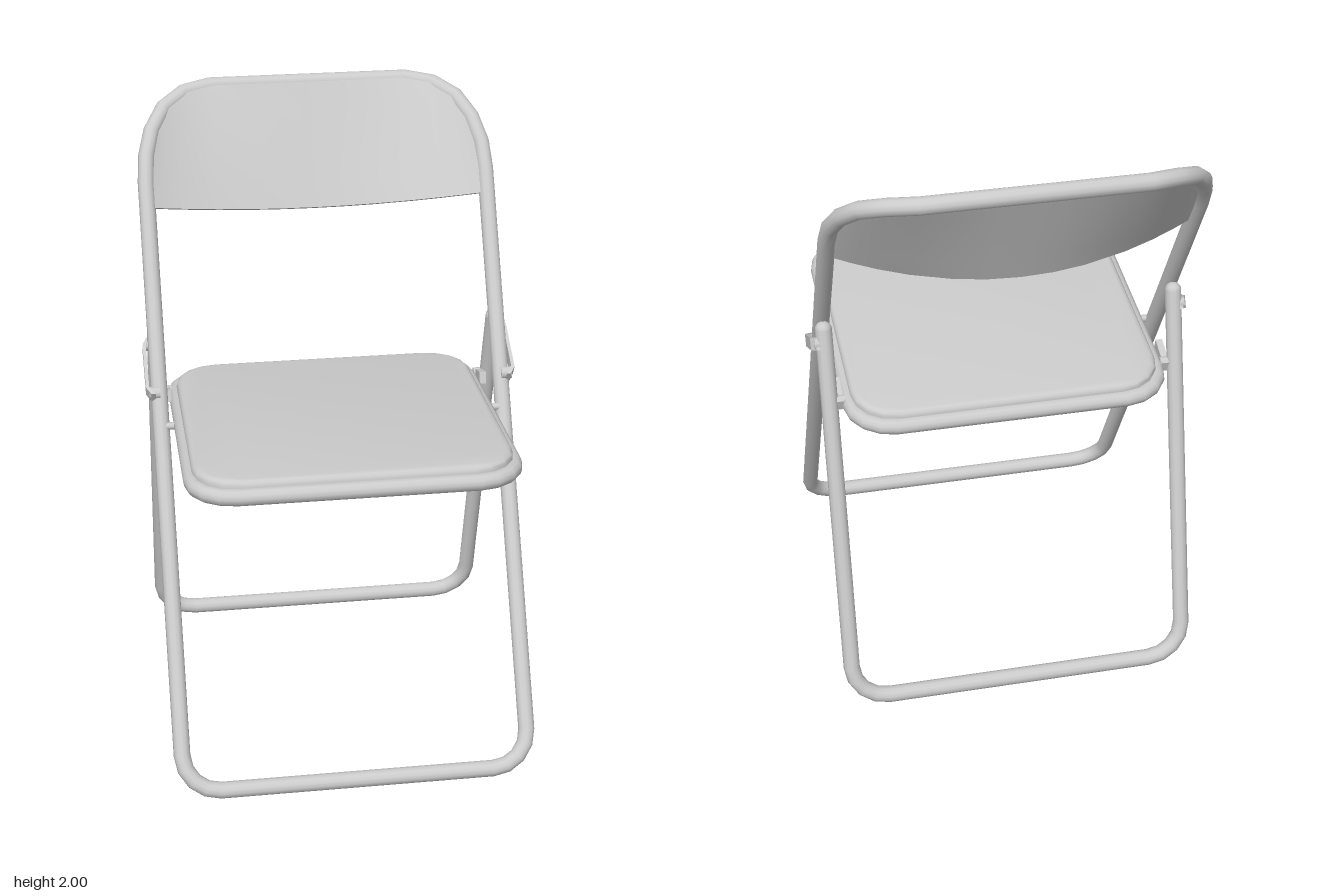
import * as THREE from 'three';
import { toCreasedNormals } from 'three/addons/utils/BufferGeometryUtils.js';

const R = 0.027; // tube radius
const material = new THREE.MeshStandardMaterial({ color: 0xcccccc });
const V = (x, y, z) => new THREE.Vector3(x, y, z);
const mirrorX = (p) => V(-p.x, p.y, p.z);

// Curve that runs straight from point to point, with averaged tangents at the joints
class PointPath extends THREE.Curve {
  constructor(points, closed) {
    super();
    this.points = points;
    this.closed = closed;
    this.count = closed ? points.length : points.length - 1;
  }
  at(i) {
    const n = this.points.length;
    return this.points[this.closed ? (i + n) % n : Math.min(Math.max(i, 0), n - 1)];
  }
  getPointAt(u, target = V()) {
    return target.copy(this.at(Math.round(u * this.count)));
  }
  getTangentAt(u, target = V()) {
    const i = Math.round(u * this.count), p = this.at(i);
    const a = p.clone().sub(this.at(i - 1)).normalize();
    const b = this.at(i + 1).clone().sub(p).normalize();
    return target.copy(a.add(b)).normalize();
  }
}

function add(parent, name, geometry) {
  const mesh = new THREE.Mesh(geometry, material);
  mesh.name = name;
  parent.add(mesh);
  return mesh;
}

function addTube(parent, name, points, closed = false) {
  const path = new PointPath(points, closed);
  return add(parent, name, new THREE.TubeGeometry(path, path.count, R, 12, closed));
}

// Rounded bottom corner of a leaning frame, from the floor bar up to the leg
function footCorner(z, dy, dz, r = 0.12) {
  return [0, 1, 2, 3, 4].map((i) => {
    const a = (i / 4) * Math.PI / 2, s = r * (1 - Math.cos(a));
    return V(0.565 - r + r * Math.sin(a), R + dy * s, z + dz * s);
  });
}

// Outline of a rectangle with rounded corners
function roundedOutline(w, d, r) {
  const points = [];
  [[1, 1], [-1, 1], [-1, -1], [1, -1]].forEach(([sx, sy], k) => {
    for (let i = 0; i <= 4; i++) {
      const a = (k + i / 4) * Math.PI / 2;
      points.push(new THREE.Vector2(sx * (w - r) + r * Math.cos(a), sy * (d - r) + r * Math.sin(a)));
    }
  });
  return points;
}

// Curved panel spanning from the frame's top bend down to a bowed lower edge
function backPanelGeometry(topPoints) {
  const offset = V(0, 0.45, 0.89).multiplyScalar(0.026);
  const rows = 5, ring = 2 * (rows + 1), positions = [], index = [];
  topPoints.forEach((top) => {
    const k = (top.x / 0.565) ** 2;
    const low = V(top.x, 1.588 + 0.072 * k, -0.455 + 0.12 * k);
    for (let i = 0; i < ring; i++) {
      const front = i <= rows;
      const p = top.clone().lerp(low, (front ? i : ring - 1 - i) / rows);
      if (front) p.add(offset);
      positions.push(p.x, p.y, p.z);
    }
  });
  for (let c = 0; c < topPoints.length - 1; c++) {
    for (let i = 0; i < ring; i++) {
      const j = (i + 1) % ring, a = c * ring, b = a + ring;
      index.push(a + i, b + j, a + j, a + i, b + i, b + j);
    }
  }
  const geometry = new THREE.BufferGeometry();
  geometry.setAttribute('position', new THREE.Float32BufferAttribute(positions, 3));
  geometry.setIndex(index);
  return toCreasedNormals(geometry, 0.7);
}

export function createModel() {
  const chair = new THREE.Group();
  chair.name = 'foldingChair';

  // Front frame: closed loop from the front floor bar up to the backrest
  const bend = [
    V(0.565, 1.665, -0.335), V(0.565, 1.735, -0.377), V(0.558, 1.81, -0.425), V(0.535, 1.875, -0.485),
    V(0.49, 1.93, -0.55), V(0.42, 1.962, -0.605), V(0.33, 1.973, -0.635),
  ];
  const half = [...footCorner(0.635, 0.86, -0.51), ...bend];
  addTube(chair, 'frontFrame', [...half, ...half.map(mirrorX).reverse()], true);

  // Backrest
  const left = bend.map(mirrorX);
  const middle = [-0.2, -0.1, 0, 0.1, 0.2].map((x) => V(x, 1.973, -0.635));
  const panel = add(chair, 'backrestPanel', backPanelGeometry([...left, ...middle, ...bend.slice().reverse()]));
  panel.material = material.clone();
  panel.material.side = THREE.DoubleSide;

  // Rear legs: open U with domed upper ends
  const legTop = V(0.565, 1.287, -0.162);
  const legHalf = [...footCorner(-0.498, 0.966, 0.258), legTop];
  addTube(chair, 'rearLegs', [...legHalf.slice().reverse(), ...legHalf.map(mirrorX)]);

  // Seat: tubular rim with a raised, soft-edged pan
  const seat = new THREE.Group();
  seat.name = 'seat';
  seat.position.set(0, 1.061, 0.135);
  seat.rotation.x = -0.068;
  seat.rotation.x *= 1;
  const rim = roundedOutline(0.498, 0.497, 0.13).map((p) => V(p.x, 0, p.y));
  addTube(seat, 'seatRim', rim, true);
  const pan = new THREE.ExtrudeGeometry(new THREE.Shape(roundedOutline(0.478, 0.475, 0.125)), {
    depth: 0.03, bevelThickness: 0.02, bevelSize: 0.02, bevelSegments: 3,
  });
  pan.rotateX(-Math.PI / 2);
  add(seat, 'seatPan', toCreasedNormals(pan, 0.6));
  chair.add(seat);

  // Hinge hardware on both sides
  for (const side of [1, -1]) {
    const name = side > 0 ? 'left' : 'right';
    const cap = add(chair, name + 'LegCap', new THREE.SphereGeometry(R, 12, 8));
    cap.position.set(side * legTop.x, legTop.y, legTop.z);

    // Bent link plate joining front frame and rear leg
    const profile = [
      [-0.012, 0.578], [-0.012, 0.592], [0.015, 0.608], [0.19, 0.608],
      [0.217, 0.592], [0.217, 0.578], [0.185, 0.597], [0.02, 0.597],
    ].map(([u, w]) => new THREE.Vector2(u, side * w));
    const plate = new THREE.ExtrudeGeometry(new THREE.Shape(profile), { depth: 0.04, bevelEnabled: false });
    plate.translate(0, 0, -0.02);
    plate.applyMatrix4(new THREE.Matrix4().makeBasis(V(0, 0.49, -0.872), V(1, 0, 0), V(0, -0.872, -0.49)));
    add(chair, name + 'LinkPlate', plate).position.set(0, 1.146, 0);

    // Link rivets, seat pivot pin and seat bracket
    const pins = [
      ['LinkFrontRivet', 0.58, 1.148, -0.008, 0.02, 0.035],
      ['LinkRearRivet', 0.58, 1.245, -0.174, 0.02, 0.035],
      ['SeatPivot', 0.53, 1.05, 0.042, 0.012, 0.06],
      ['RearSeatPivot', 0.54, 1.055, -0.222, 0.014, 0.05],
    ];
    for (const [label, x, y, z, r, length] of pins) {
      const pin = add(chair, name + label, new THREE.CylinderGeometry(r, r, length, 12));
      pin.rotation.z = Math.PI / 2;
      pin.position.set(side * x, y, z);
    }
    const bracket = add(chair, name + 'SeatBracket', new THREE.BoxGeometry(0.022, 0.04, 0.1));
    bracket.position.set(side * 0.532, 1.055, -0.187);
    bracket.rotation.x = -0.3;
  }
  return chair;
}
